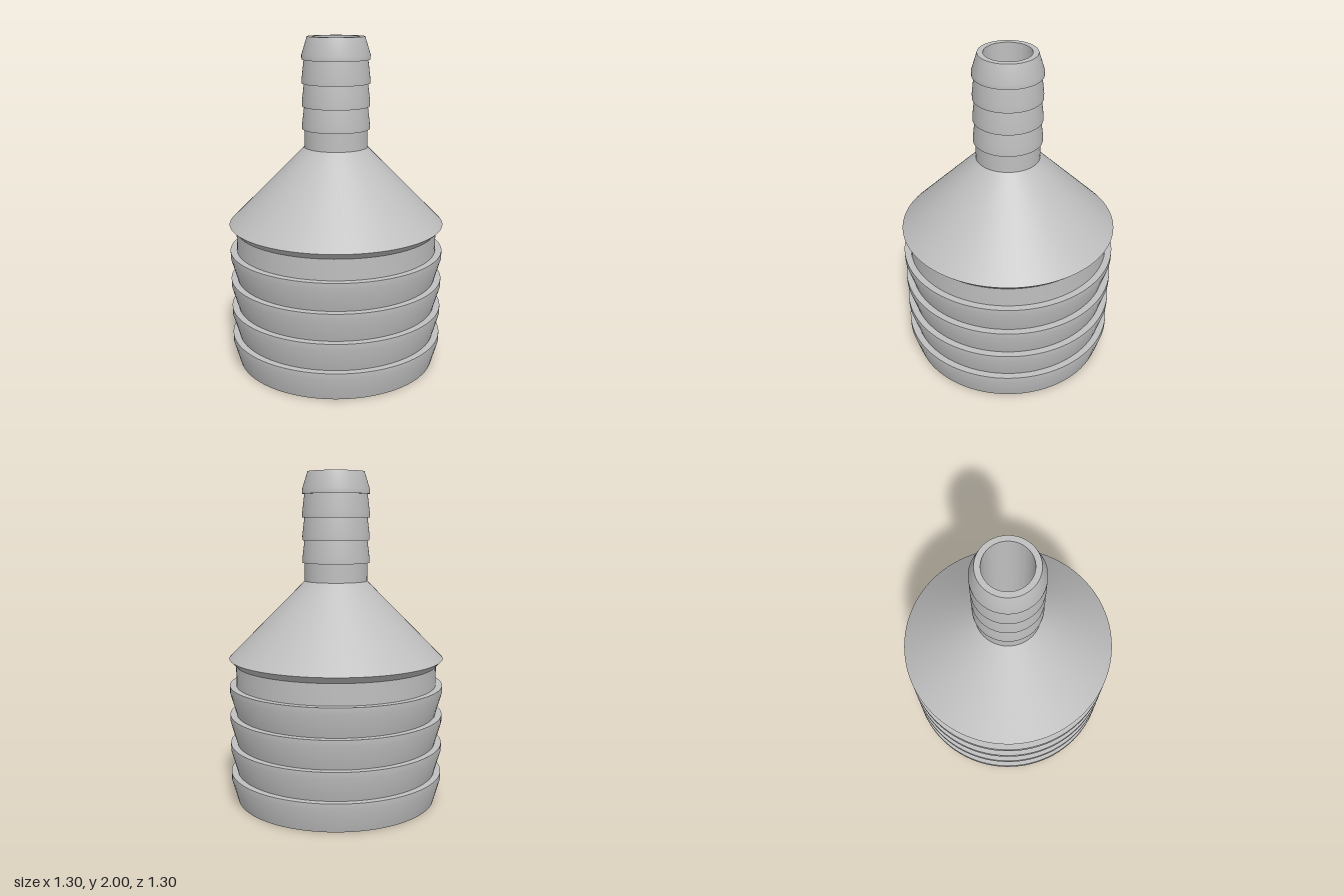
import * as THREE from 'three';
import { toCreasedNormals } from 'three/addons/utils/BufferGeometryUtils.js';

const SEGMENTS = 96;

export function createModel() {
  const group = new THREE.Group();
  group.name = 'hoseReducer';
  const grey = new THREE.MeshStandardMaterial({ color: 0xbfbfbf });
  grey.name = 'grey plastic';

  // Revolves [radius, height] points; rising profiles face outward
  function turn(name, profile) {
    const points = profile.map(([r, y]) => new THREE.Vector2(r, y));
    const geometry = toCreasedNormals(new THREE.LatheGeometry(points, SEGMENTS), Math.PI / 6);
    const mesh = new THREE.Mesh(geometry, grey);
    mesh.name = name;
    group.add(mesh);
  }

  // Wide end: four stacked barbs with a flat ledge on top
  for (let i = 0; i < 4; i++) {
    const y = i * 0.18;
    turn(`wideBarb${i + 1}`, [[0.612, y], [0.652, y + 0.14], [0.652, y + 0.18], [0.612, y + 0.18]]);
  }
  turn('wideNeck', [[0.612, 0.72], [0.612, 0.845]]);

  // Shoulder: undercut lip and cone
  turn('shoulder', [[0.612, 0.845], [0.652, 0.885], [0.19, 1.35]]);

  // Narrow end: neck and barbs with an underside ledge
  turn('narrowNeck', [[0.19, 1.35], [0.19, 1.46]]);
  const starts = [1.46, 1.595, 1.73, 1.868];
  starts.forEach((y, i) => {
    const last = i === starts.length - 1;
    const top = last ? 2 : starts[i + 1];
    turn(`narrowBarb${i + 1}`, [[0.188, y], [0.203, y], [0.203, y + 0.027], [last ? 0.17 : 0.19, top]]);
  });

  // Through bore with both end rims
  turn('bore', [[0.17, 2], [0.137, 2], [0.137, 1.32], [0.556, 0.87], [0.556, 0], [0.612, 0]]);

  return group;
}
